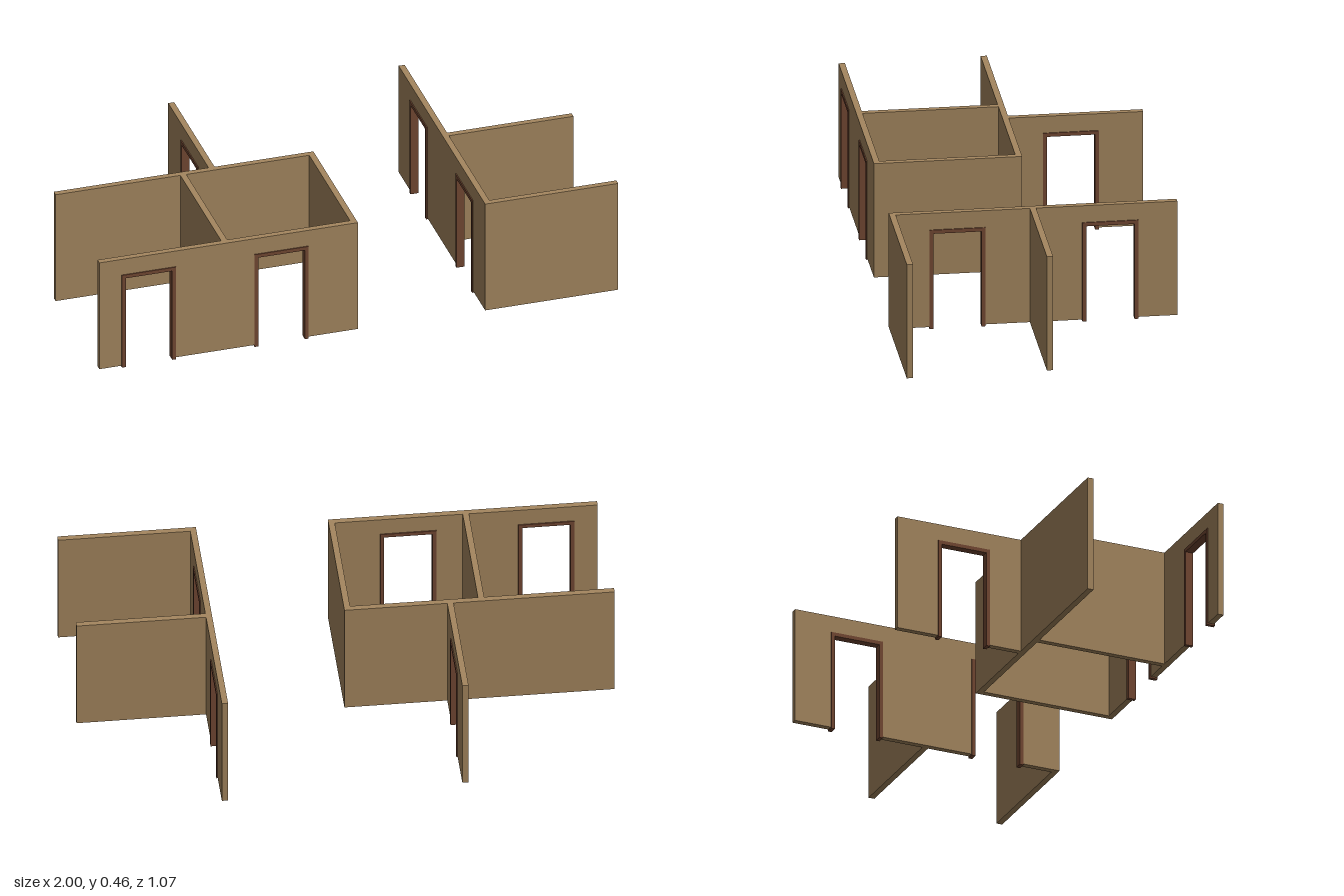
import * as THREE from 'three';

const BASE = 0.006, TOP = 0.457, THICK = 0.023;
const DOOR_W = 0.208, DOOR_H = 0.391, JAMB = 0.0145, FRAME_DEPTH = 0.031;

const plaster = new THREE.MeshStandardMaterial({ color: 0xa5875f });
plaster.name = 'tan wall';
const timber = new THREE.MeshStandardMaterial({ color: 0x734833 });
timber.name = 'brown door frame';

// Extrude an outline in XY, centred on z = 0
function slab(points, depth, material, name) {
  const shape = new THREE.Shape(points.map(([x, y]) => new THREE.Vector2(x, y)));
  const geo = new THREE.ExtrudeGeometry(shape, { depth, bevelEnabled: false });
  geo.translate(0, 0, -depth / 2);
  const mesh = new THREE.Mesh(geo, material);
  mesh.name = name;
  return mesh;
}

// Wall running from a to b, with door openings centred at the given positions
function wall(name, axis, a, b, offset, doors = []) {
  const group = new THREE.Group();
  group.name = name;
  const outline = [[a, TOP], [a, BASE]];
  for (const c of doors) {
    const l = c - DOOR_W / 2, r = c + DOOR_W / 2;
    outline.push([l, BASE], [l, DOOR_H], [r, DOOR_H], [r, BASE]);
    // Three-sided frame, slightly deeper than the wall
    group.add(slab([
      [l, 0], [l + JAMB, 0], [l + JAMB, DOOR_H - JAMB], [r - JAMB, DOOR_H - JAMB],
      [r - JAMB, 0], [r, 0], [r, DOOR_H], [l, DOOR_H],
    ], FRAME_DEPTH, timber, 'doorFrame'));
  }
  outline.push([b, BASE], [b, TOP]);
  group.add(slab(outline, THICK, plaster, 'wallPanel'));
  if (axis === 'z') {
    group.rotation.y = -Math.PI / 2;
    group.position.x = offset;
  } else {
    group.position.z = offset;
  }
  return group;
}

export function createModel() {
  const model = new THREE.Group();
  model.name = 'roomWalls';
  model.add(
    // Enclosed rooms on the -x side
    wall('frontWall', 'x', -0.996, 0, 0.513, [-0.806, -0.295]),
    wall('middleWall', 'x', -1, 0, -0.014),
    wall('roomDivider', 'z', -0.0025, 0.5015, -0.508),
    wall('roomEndWall', 'z', -0.0025, 0.5015, -0.0115),
    wall('backStubWall', 'z', -0.524, -0.0255, -0.392, [-0.256]),
    // Corridor wall and its two branches on the +x side
    wall('corridorWall', 'z', -0.534, 0.534, 0.499, [-0.285, 0.282]),
    wall('branchWall', 'x', 0.5105, 0.99, 0.0015),
    wall('frontBranchWall', 'x', 0.5105, 1, 0.5225),
  );
  return model;
}
